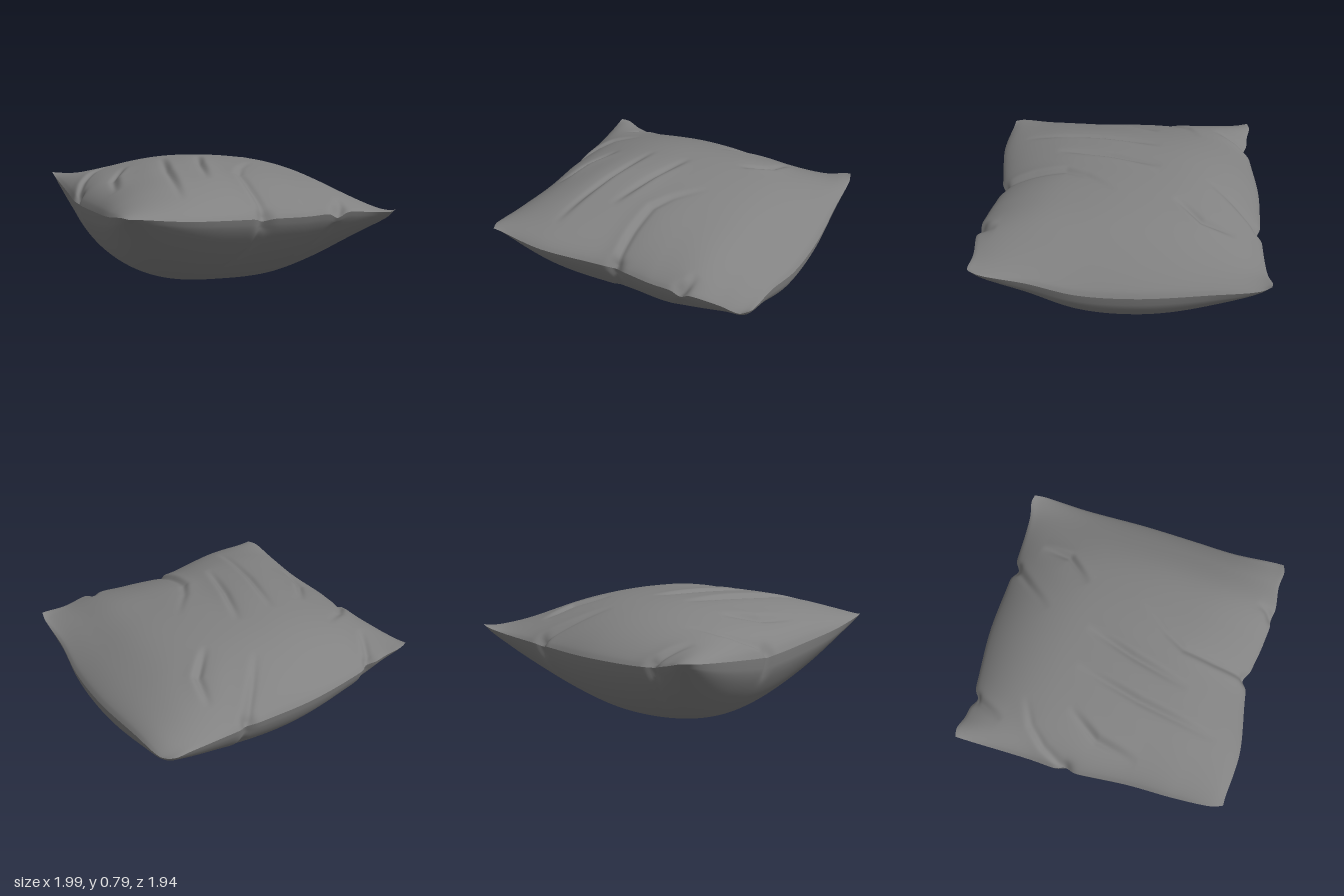
import * as THREE from 'three';

const N = 150; // grid cells per side of each fabric panel

// Seam edges as [x, y, z]; front and back run left to right, sides run back to front
const curve = pts => {
  const c = new THREE.CatmullRomCurve3(pts.map(p => new THREE.Vector3(...p)), false, 'centripetal');
  c.arcLengthDivisions = 400;
  return Array.from({ length: N + 1 }, (_, i) => c.getPointAt(i / N));
};
const BL = [-0.775, 0.635, -0.965], BR = [0.985, 0.56, -0.77];
const FL = [-0.985, 0.62, 0.70], FR = [0.68, 0.55, 0.96];
const back = curve([BL, [-0.72, 0.625, -0.97], [-0.62, 0.59, -0.935], [-0.47, 0.555, -0.92],
  [-0.02, 0.53, -0.90], [0.40, 0.52, -0.83], [0.83, 0.53, -0.78], [0.94, 0.55, -0.785], BR]);
const front = curve([FL, [-0.93, 0.615, 0.71], [-0.65, 0.585, 0.775], [-0.16, 0.55, 0.79],
  [0.09, 0.55, 0.865], [0.33, 0.565, 0.925], [0.52, 0.545, 0.94], [0.64, 0.54, 0.97], FR]);
const left = curve([BL, [-0.785, 0.62, -0.90], [-0.84, 0.56, -0.51], [-0.88, 0.54, -0.30],
  [-0.92, 0.55, 0.11], [-0.97, 0.58, 0.40], [-0.998, 0.62, 0.64], FL]);
const right = curve([BR, [0.992, 0.54, -0.71], [0.95, 0.495, -0.42], [0.90, 0.455, 0.0],
  [0.83, 0.45, 0.35], [0.75, 0.49, 0.63], [0.70, 0.53, 0.90], FR]);

// Pinches in the seam: position x, z, then the pull as dx, dy, dz
const notches = [
  [-0.16, 0.79, 0, -0.02, -0.032],
  [0.28, 0.91, 0, -0.035, -0.01],
  [0.43, -0.825, 0, -0.02, 0.032],
  [-0.50, -0.92, 0, -0.01, 0.032],
  [-0.88, -0.28, 0.025, -0.015, 0],
];

// Fold lines in the fabric as x, z polylines: inner folds fade at both ends,
// rim folds start at the seam and fade inward
const topInner = [
  [[-0.01, -0.25], [-0.17, 0.06], [-0.32, 0.41]],
  [[-0.27, -0.28], [-0.44, 0.12], [-0.61, 0.62]],
  [[0.57, -0.64], [0.49, -0.44], [0.30, -0.29]],
  [[-0.53, -0.29], [-0.70, -0.10], [-0.80, 0.16]],
];
const topRim = [
  [[-0.16, 0.78], [-0.12, 0.56], [-0.07, 0.36], [0.02, 0.24], [0.22, 0.06]],
  [[0.43, -0.80], [0.28, -0.68], [0.10, -0.52]],
  [[-0.50, -0.90], [-0.64, -0.70]],
  [[-0.87, -0.28], [-0.77, -0.42], [-0.66, -0.51], [-0.48, -0.57]],
  [[0.29, 0.92], [0.35, 0.80]],
];
const bottomRim = [
  [[-0.16, 0.78], [-0.18, 0.65], [-0.27, 0.45]],
  [[0.29, 0.92], [0.25, 0.78], [0.18, 0.62]],
  [[0.43, -0.80], [0.38, -0.62]],
  [[-0.50, -0.90], [-0.40, -0.65]],
];

// Depth of one fold at a point: a narrow valley with a soft ridge along one side
function foldAt(line, x, z, fade) {
  let best = Infinity, side = 0, along = 0;
  for (let k = 0; k < line.length - 1; k++) {
    const [ax, az] = line[k], dx = line[k + 1][0] - ax, dz = line[k + 1][1] - az;
    const len = Math.hypot(dx, dz);
    const t = THREE.MathUtils.clamp(((x - ax) * dx + (z - az) * dz) / (len * len), 0, 1);
    const d = Math.hypot(x - ax - t * dx, z - az - t * dz);
    if (d < best) {
      best = d;
      side = ((x - ax) * dz - (z - az) * dx) / len;
      along = (k + t) / (line.length - 1);
    }
  }
  const valley = Math.exp(-((best / 0.024) ** 2));
  const ridge = Math.exp(-((best / 0.07) ** 2)) * Math.tanh(side / 0.03);
  return fade(along) * (0.024 * valley - 0.010 * ridge);
}
const bothEnds = t => Math.sin(Math.PI * t);
const inward = t => Math.cos(Math.PI * t / 2);

// Puffed profile across the panel, from 0 at the seams to 1 at its peak
const profile = (s, { p, q, shift }) => Math.max(0, 1 - Math.abs(s + shift * (1 - s * s)) ** p) ** q;

// One fabric panel: a patch stretched between the four seam edges and puffed up or down
function panel(name, sign, height, across, deep, innerFolds, rimFolds) {
  const pos = [], index = [];
  for (let j = 0; j <= N; j++) {
    for (let i = 0; i <= N; i++) {
      const u = i / N, v = j / N;
      const p = new THREE.Vector3()
        .addScaledVector(back[i], 1 - v).addScaledVector(front[i], v)
        .addScaledVector(left[j], 1 - u).addScaledVector(right[j], u)
        .addScaledVector(back[0], -(1 - u) * (1 - v)).addScaledVector(back[N], -u * (1 - v))
        .addScaledVector(front[0], -(1 - u) * v).addScaledVector(front[N], -u * v);
      const pull = new THREE.Vector3();
      for (const [x, z, dx, dy, dz] of notches) {
        const w = Math.exp(-((p.x - x) ** 2 + (p.z - z) ** 2) / 0.042 ** 2);
        pull.add(new THREE.Vector3(dx, dy, dz).multiplyScalar(w));
      }
      p.add(pull);
      const dome = profile(2 * u - 1, across) * profile(2 * v - 1, deep);
      let fold = 0;
      for (const f of innerFolds) fold += foldAt(f, p.x, p.z, bothEnds);
      for (const f of rimFolds) fold += foldAt(f, p.x, p.z, inward);
      fold *= THREE.MathUtils.smoothstep(dome, 0, 0.15);
      pos.push(p.x, p.y + sign * (height * dome - fold), p.z);
      if (i < N && j < N) {
        const a = j * (N + 1) + i, b = a + 1, c = a + N + 1, d = c + 1;
        if (sign > 0) index.push(a, c, b, b, c, d);
        else index.push(a, b, c, b, d, c);
      }
    }
  }
  const geo = new THREE.BufferGeometry();
  geo.setAttribute('position', new THREE.Float32BufferAttribute(pos, 3));
  geo.setIndex(index);
  geo.computeVertexNormals();
  const mesh = new THREE.Mesh(geo, new THREE.MeshStandardMaterial({ color: 0x828282 }));
  mesh.name = name;
  return mesh;
}

export function createModel() {
  const cushion = new THREE.Group();
  cushion.name = 'cushion';
  cushion.add(
    panel('topPanel', 1, 0.345, { p: 2.3, q: 0.72, shift: 0.06 }, { p: 2.2, q: 0.8, shift: 0.06 }, topInner, topRim),
    panel('bottomPanel', -1, 0.443, { p: 2.4, q: 0.58, shift: 0.08 }, { p: 2.2, q: 0.72, shift: 0.06 }, [], bottomRim),
  );
  // Rest the cushion on the ground
  const box = new THREE.Box3().setFromObject(cushion, true);
  cushion.children.forEach(m => m.geometry.translate(0, -box.min.y, 0));
  return cushion;
}
